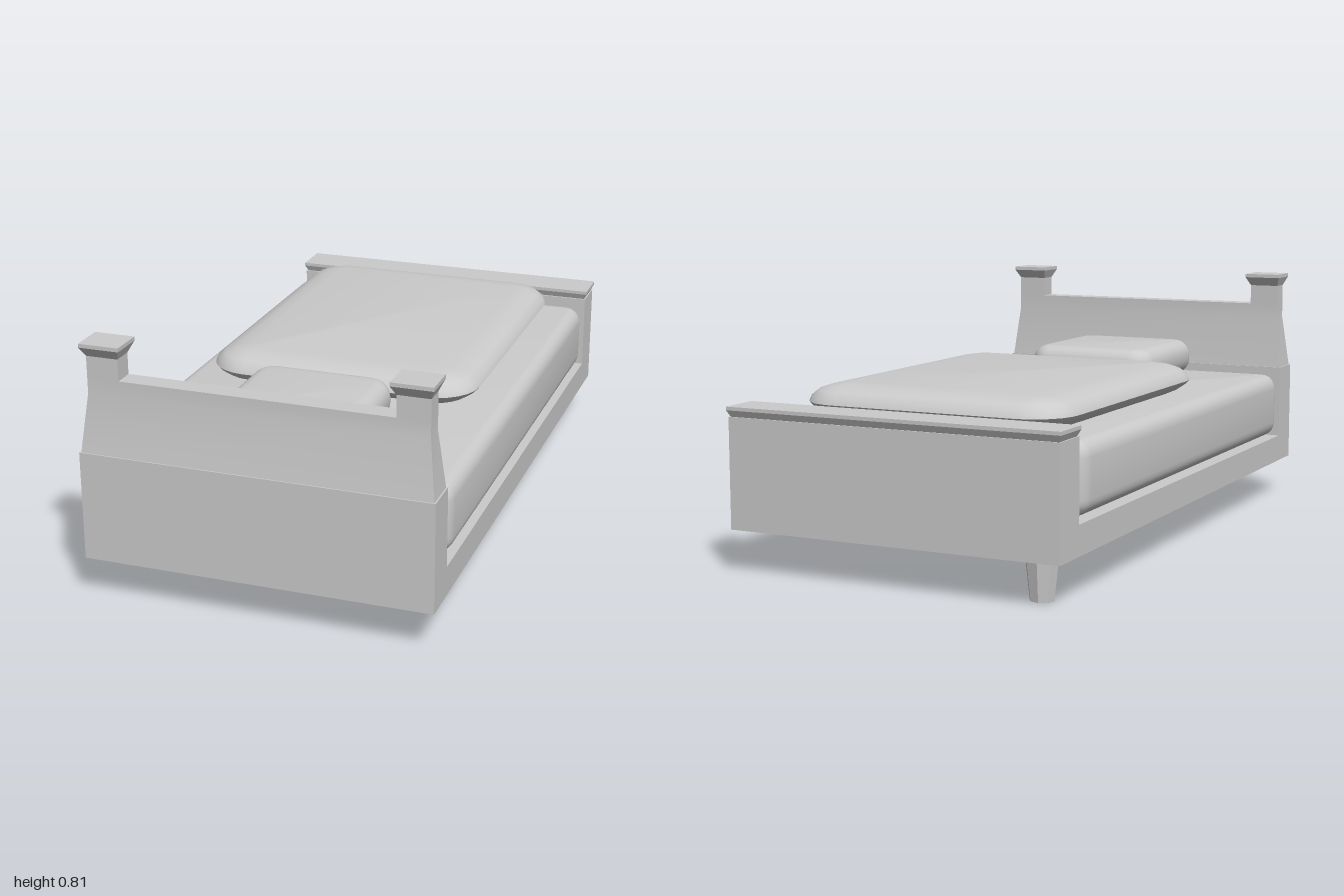
import * as THREE from 'three';
import { toCreasedNormals } from 'three/addons/utils/BufferGeometryUtils.js';

const material = new THREE.MeshStandardMaterial({ color: 0xcccccc });

// Closed solid through horizontal rounded-rectangle rings [y, x0, x1, z0, z1, radius], bottom to top
function loft(rings, steps = 0, crease = 0.3) {
  const pos = [], index = [];
  const count = 4 * (steps + 1);
  for (const [y, x0, x1, z0, z1, r = 0] of rings) {
    for (let c = 0; c < 4; c++) {
      const cx = c === 0 || c === 3 ? x1 - r : x0 + r;
      const cz = c < 2 ? z0 + r : z1 - r;
      for (let s = 0; s <= steps; s++) {
        const a = (c + (steps ? s / steps : 0)) * Math.PI / 2;
        pos.push(cx + r * Math.cos(a), y, cz - r * Math.sin(a));
      }
    }
  }
  for (let k = 0; k < rings.length - 1; k++) {
    for (let i = 0; i < count; i++) {
      const a = k * count + i, b = k * count + (i + 1) % count;
      index.push(a, b, b + count, a, b + count, a + count);
    }
  }
  const top = (rings.length - 1) * count;
  for (let i = 1; i < count - 1; i++) {
    index.push(0, i + 1, i, top, top + i, top + i + 1);
  }
  const g = new THREE.BufferGeometry();
  g.setAttribute('position', new THREE.Float32BufferAttribute(pos, 3));
  g.setIndex(index);
  return toCreasedNormals(g, crease);
}

// Soft block: the outline shrinks by the inset given at each height
function cushion(x0, x1, z0, z1, r, profile) {
  const rings = profile.map(([y, d]) =>
    [y, x0 + d, x1 - d, z0 + d, z1 - d, Math.max(r - d, 0.012)]);
  return loft(rings, 6, 0.7);
}

// Height and inset pairs for a block with rounded bottom and top edges
function roundedProfile(y0, y1, h, d, n = 5) {
  const lower = [], upper = [];
  for (let i = 0; i <= n; i++) {
    const a = i / n * Math.PI / 2;
    lower.push([y0 + h * (1 - Math.cos(a)), d * (1 - Math.sin(a))]);
    upper.unshift([y1 - h * (1 - Math.cos(a)), d * (1 - Math.sin(a))]);
  }
  return [...lower, ...upper];
}

export function createModel() {
  const model = new THREE.Group();
  const add = (name, geometry) => {
    const mesh = new THREE.Mesh(geometry, material);
    mesh.name = name;
    model.add(mesh);
    return mesh;
  };

  // U-shaped frame: base slab with low head and foot walls
  const side = new THREE.Shape([
    [0.995, 0.133], [0.995, 0.475], [0.87, 0.475], [0.87, 0.225],
    [-0.88, 0.225], [-0.88, 0.475], [-1, 0.475], [-1, 0.133],
  ].map(([x, y]) => new THREE.Vector2(x, y)));
  const frame = new THREE.ExtrudeGeometry(side, { depth: 1.09, bevelEnabled: false });
  frame.translate(0, 0, -0.545).rotateY(Math.PI / 2);
  add('frame', frame);

  // Tapered headboard
  add('headboard', loft([
    [0.475, -0.54, 0.54, 0.884, 0.996],
    [0.655, -0.52, 0.52, 0.905, 0.97],
    [0.703, -0.52, 0.52, 0.905, 0.97],
  ]));

  // Corner posts with flared caps
  for (const s of [-1, 1]) {
    const post = loft([
      [0.703, -0.05, 0.05, 0.905, 0.97],
      [0.77, -0.05, 0.05, 0.905, 0.97],
      [0.8, -0.063, 0.063, 0.882, 0.99],
      [0.812, -0.063, 0.063, 0.882, 0.99],
    ]);
    add(s > 0 ? 'leftHeadPost' : 'rightHeadPost', post).position.x = s * 0.47;
  }

  // Flared cap on the footboard
  add('footboardCap', loft([
    [0.475, -0.54, 0.54, -0.99, -0.876],
    [0.495, -0.55, 0.55, -1, -0.867],
    [0.506, -0.55, 0.55, -1, -0.867],
  ]));

  // Bedding
  add('mattress', cushion(-0.55, 0.542, -0.858, 0.858, 0.06,
    roundedProfile(0.235, 0.455, 0.05, 0.045)));
  add('blanket', cushion(-0.455, 0.437, -0.822, 0.315, 0.14, [
    [0.455, 0.075], [0.47, 0.04], [0.49, 0.01], [0.502, 0], [0.52, 0.008],
    [0.538, 0.03], [0.55, 0.065], [0.557, 0.11],
  ]));
  add('pillow', cushion(-0.24, 0.216, 0.34, 0.815, 0.075,
    roundedProfile(0.452, 0.573, 0.052, 0.052)));

  // Single tapered foot
  const foot = new THREE.CylinderGeometry(0.052, 0.037, 0.135, 8);
  foot.scale(1, 1, 0.87);
  foot.rotateY(0.1);
  add('foot', toCreasedNormals(foot, 0.3)).position.set(-0.437, 0.0675, -0.885);

  return model;
}
